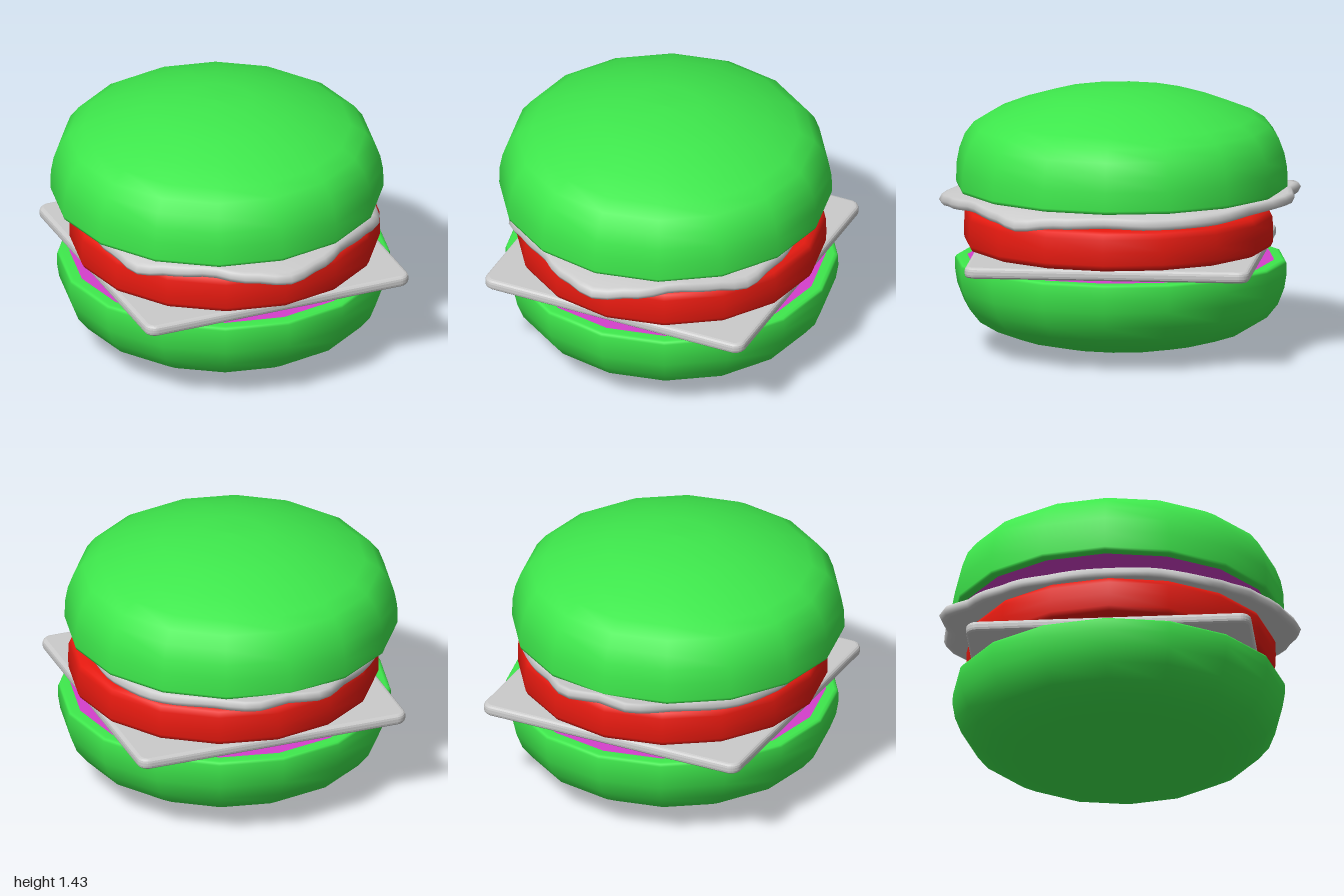
import * as THREE from 'three';
import { mergeVertices } from 'three/addons/utils/BufferGeometryUtils.js';

const material = (color, side = THREE.FrontSide) => new THREE.MeshStandardMaterial({ color, side });
const green = material(0x3ee84c);
const magenta = material(0xd540cc);
const red = material(0xe81a10);
const grey = material(0xcccccc);

function part(name, geometry, mat, x = 0, y = 0, z = 0) {
  const mesh = new THREE.Mesh(geometry, mat);
  mesh.name = name;
  mesh.position.set(x, y, z);
  return mesh;
}

// Sixteen-sided turned form; profile is [radius, height] from bottom to top
const turned = (profile) =>
  new THREE.LatheGeometry(profile.map(([r, y]) => new THREE.Vector2(r, y)), 16);

// Wavy leaf: a thin lens whose rim radius and rim height vary with the angle from the front
function leafGeometry() {
  // [degrees, rim radius, rim height], mirrored to the other side
  const half = [
    [0, 0.985, 0.795], [14, 0.93, 0.81], [28, 0.87, 0.825], [42, 0.86, 0.8], [55, 0.88, 0.772],
    [70, 0.83, 0.8], [90, 0.79, 0.81], [112, 0.82, 0.8], [132, 0.86, 0.81],
    [152, 0.89, 0.84], [169, 0.995, 0.87], [180, 0.955, 0.875],
  ];
  const rim = (degrees, k) => {
    const a = Math.min(Math.abs(degrees > 180 ? degrees - 360 : degrees), 180);
    let i = 0;
    while (i < half.length - 2 && a > half[i + 1][0]) i++;
    const f = (a - half[i][0]) / (half[i + 1][0] - half[i][0]);
    return THREE.MathUtils.lerp(half[i][k], half[i + 1][k], f * f * (3 - 2 * f));
  };
  const steps = [0, 0.4, 0.7, 0.82, 0.9, 0.96, 0.985];
  const profile = [
    ...steps.map((t) => new THREE.Vector2(t, -1)),
    new THREE.Vector2(1, 0),
    ...steps.slice().reverse().map((t) => new THREE.Vector2(t, 1)),
  ];
  let geometry = new THREE.LatheGeometry(profile, 72);
  const p = geometry.attributes.position;
  for (let i = 0; i < p.count; i++) {
    const x = p.getX(i), z = p.getZ(i), side = p.getY(i);
    const t = Math.hypot(x, z);
    const degrees = (THREE.MathUtils.radToDeg(Math.atan2(x, z)) + 360) % 360;
    const r = rim(degrees, 1);
    const droop = t ** 7;
    const y = THREE.MathUtils.lerp(0.835 + side * 0.045, rim(degrees, 2) + side * 0.025, droop);
    p.setXYZ(i, x * r, y, z * r);
  }
  geometry.deleteAttribute('normal');
  geometry.deleteAttribute('uv');
  geometry = mergeVertices(geometry);
  geometry.computeVertexNormals();
  return geometry;
}

// Square slice with rounded corners and softened edges
function sliceGeometry(size, thickness, corner, bevel) {
  const h = size / 2 - bevel;
  const shape = new THREE.Shape();
  [[h, h], [-h, h], [-h, -h], [h, -h]].forEach(([x, y], i) => {
    const a = (i * Math.PI) / 2;
    shape.absarc(x - Math.sign(x) * corner, y - Math.sign(y) * corner, corner, a, a + Math.PI / 2, false);
  });
  const geometry = new THREE.ExtrudeGeometry(shape, {
    depth: thickness - 2 * bevel, bevelThickness: bevel, bevelSize: bevel, bevelSegments: 3, curveSegments: 5,
  });
  return geometry.translate(0, 0, bevel - thickness / 2).rotateX(-Math.PI / 2);
}

export function createModel() {
  const burger = new THREE.Group();
  burger.name = 'burger';

  // Lower bun with its cut face
  const bottomBun = new THREE.Group();
  bottomBun.name = 'bottomBun';
  bottomBun.position.set(0.018, 0, -0.012);
  bottomBun.add(
    part('bottomCrust', turned([
      [0, 0], [0.2, 0.012], [0.42, 0.04], [0.58, 0.075], [0.7, 0.115], [0.8, 0.175], [0.86, 0.25],
      [0.895, 0.34], [0.908, 0.42], [0.907, 0.48], [0.9, 0.492], [0.885, 0.497], [0.84, 0.497],
    ]), green),
    part('bottomCutFace', turned([[0.84, 0.497], [0, 0.497]]), magenta),
  );

  // Upper bun with its cut face
  const topBun = new THREE.Group();
  topBun.name = 'topBun';
  topBun.position.set(-0.02, 0, -0.014);
  topBun.add(
    part('topCutFace', turned([[0, 0.88], [0.86, 0.88]]), magenta),
    part('topCrust', turned([
      [0.86, 0.88], [0.89, 0.88], [0.903, 0.884], [0.908, 0.9], [0.905, 1.0], [0.89, 1.08], [0.86, 1.16],
      [0.81, 1.225], [0.73, 1.275], [0.58, 1.335], [0.4, 1.39], [0.2, 1.425], [0, 1.43],
    ]), green),
  );

  // Fillings
  const patty = turned([
    [0, 0.555], [0.76, 0.555], [0.805, 0.559], [0.832, 0.57], [0.845, 0.595], [0.846, 0.665],
    [0.843, 0.735], [0.828, 0.765], [0.8, 0.778], [0.75, 0.782], [0, 0.782],
  ]);

  burger.add(
    bottomBun,
    part('cheeseSlice', sliceGeometry(1.56, 0.062, 0.04, 0.022), grey, 0.02, 0.528, -0.01),
    part('patty', patty, red, 0.02, 0, 0),
    part('lettuceLeaf', leafGeometry(), grey),
    topBun,
  );
  return burger;
}
